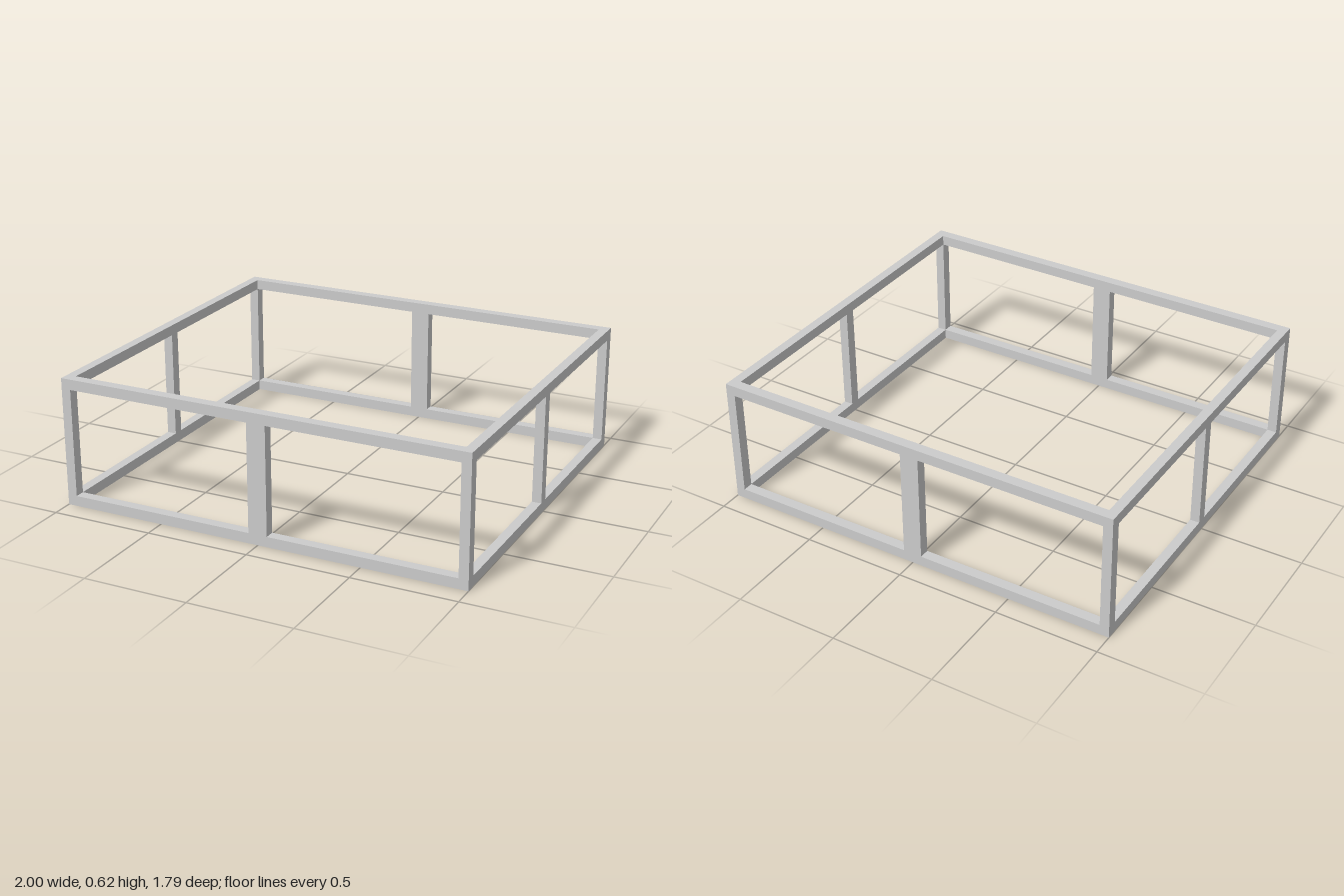
import * as THREE from 'three';

const WIDTH = 2, DEPTH = 1.79, HEIGHT = 0.622;
const BEAM = 0.05;       // rail height and front/back beam thickness
const SIDE_BEAM = 0.046; // side beam thickness in x

export function createModel() {
  const model = new THREE.Group();
  model.name = 'boxFrame';
  const material = new THREE.MeshStandardMaterial({ color: 0xcccccc, flatShading: true });

  const beam = (name, size, position) => {
    const mesh = new THREE.Mesh(new THREE.BoxGeometry(...size), material);
    mesh.name = name;
    mesh.position.set(...position);
    model.add(mesh);
  };

  const xEdge = (WIDTH - SIDE_BEAM) / 2;
  const zEdge = (DEPTH - BEAM) / 2;
  const postHeight = HEIGHT - 2 * BEAM;
  const midY = HEIGHT / 2;

  // Bottom and top rings of rails
  for (const [level, y] of [['bottom', BEAM / 2], ['top', HEIGHT - BEAM / 2]]) {
    beam(level + 'FrontRail', [WIDTH, BEAM, BEAM], [0, y, zEdge]);
    beam(level + 'BackRail', [WIDTH, BEAM, BEAM], [0, y, -zEdge]);
    beam(level + 'LeftRail', [SIDE_BEAM, BEAM, DEPTH - 2 * BEAM], [xEdge, y, 0]);
    beam(level + 'RightRail', [SIDE_BEAM, BEAM, DEPTH - 2 * BEAM], [-xEdge, y, 0]);
  }

  // Corner posts and the wider front and back middle posts
  for (const [face, z] of [['front', zEdge], ['back', -zEdge]]) {
    beam(face + 'LeftPost', [SIDE_BEAM, postHeight, BEAM], [xEdge, midY, z]);
    beam(face + 'RightPost', [SIDE_BEAM, postHeight, BEAM], [-xEdge, midY, z]);
    beam(face + 'MiddlePost', [0.092, postHeight, BEAM], [0, midY, z]);
  }

  // Side middle posts
  beam('leftMiddlePost', [SIDE_BEAM, postHeight, 0.052], [xEdge, midY, 0]);
  beam('rightMiddlePost', [SIDE_BEAM, postHeight, 0.052], [-xEdge, midY, 0]);

  return model;
}
